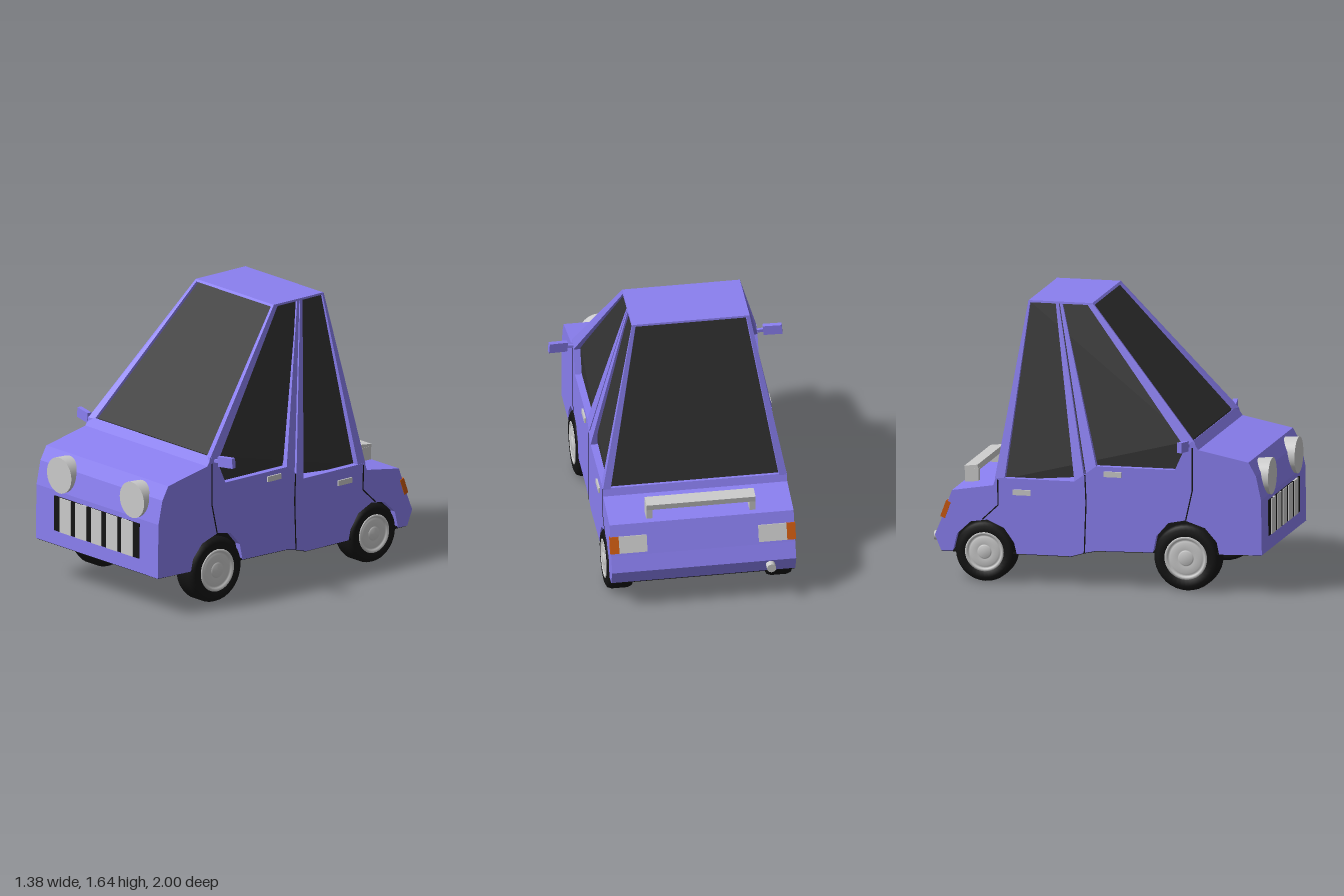
import * as THREE from 'three';
import { ConvexGeometry } from 'three/addons/geometries/ConvexGeometry.js';

const mat = (color) => new THREE.MeshStandardMaterial({ color });
const paint = mat(0x8a7ff0), glass = mat(0x333333), black = mat(0x141414), orange = mat(0xcc5a10), grey = mat(0xcccccc);

export function createModel() {
  const car = new THREE.Group();
  car.name = 'car';

  const add = (name, geo, material, x = 0, y = 0, z = 0) => {
    const mesh = new THREE.Mesh(geo, material);
    mesh.name = name;
    mesh.position.set(x, y, z);
    car.add(mesh);
    return mesh;
  };
  const box = (name, m, w, h, d, x, y, z) => add(name, new THREE.BoxGeometry(w, h, d), m, x, y, z);
  const hull = (name, m, pts) => add(name, new ConvexGeometry(pts.map((p) => new THREE.Vector3(...p))), m);
  // Extrudes a [z, y] outline across the car from x0 to x1
  const slab = (name, m, pts, x0, x1) => {
    const shape = new THREE.Shape(pts.map((p) => new THREE.Vector2(...p)));
    const geo = new THREE.ExtrudeGeometry(shape, { depth: x1 - x0, bevelEnabled: false });
    geo.rotateY(-Math.PI / 2).translate(x1, 0, 0);
    return add(name, geo, m);
  };

  // Side outline in [z, y]
  const rearArch = [[-0.855, 0.176], [-0.83, 0.28], [-0.75, 0.355], [-0.65, 0.37], [-0.55, 0.325], [-0.49, 0.24], [-0.475, 0.176]];
  const frontArch = [[0.34, 0.222], [0.36, 0.32], [0.43, 0.4], [0.53, 0.42], [0.65, 0.38], [0.72, 0.3], [0.735, 0.228]];
  const rearSill = [[-0.925, 0.176]];
  const midSill = [[-0.15, 0.176], [-0.07, 0.2], [0, 0.215]];
  const top = [
    [0.99, 0.235], [0.985, 0.56], [0.955, 0.7], [0.91, 0.78], [0.61, 0.84], [0.575, 0.89], [0.535, 0.86],
    [0.47, 0.715], [0, 0.715], [-0.13, 0.62], [-0.6, 0.62], [-0.615, 0.575], [-0.861, 0.535], [-0.925, 0.36], [-0.963, 0.267],
  ];

  // Lower body: plain centre, sides with wheel arches
  slab('bodyCentre', paint, [...rearSill, ...midSill, ...top], -0.38, 0.38);
  const sideOutline = [...rearSill, ...rearArch, ...midSill, ...frontArch, ...top];
  slab('bodySideLeft', paint, sideOutline, 0.38, 0.54);
  slab('bodySideRight', paint, sideOutline, -0.54, -0.38);

  // Dark underside following the sills
  const floor = [...rearSill, ...midSill, [0.985, 0.235]];
  slab('underbody', black, [
    ...floor.map(([z, y]) => [z, y - 0.004]),
    ...floor.map(([z, y]) => [z, y + 0.008]).reverse(),
  ], -0.535, 0.535);

  // Cabin glass and roof
  hull('cabinGlass', glass, [1, -1].flatMap((s) => [
    [s * 0.5, 0.6, -0.585], [s * 0.5, 0.69, 0.48], [s * 0.5, 0.885, 0.555],
    [s * 0.333, 1.63, -0.08], [s * 0.333, 1.63, -0.443],
  ]));
  hull('roof', paint, [1, -1].flatMap((s) => [
    [s * 0.345, 1.64, -0.07], [s * 0.345, 1.64, -0.45], [s * 0.347, 1.628, -0.06], [s * 0.347, 1.628, -0.452],
  ]));

  // Wheel: tyre and stepped rim turned about the axle
  const wheel = (name, side, r, y, z) => {
    const g = new THREE.Group();
    g.name = name;
    const turn = (part, pts, m) => {
      const geo = new THREE.LatheGeometry(pts.map((p) => new THREE.Vector2(p[0] * r, p[1])), 36);
      const mesh = new THREE.Mesh(geo, m);
      mesh.name = part;
      g.add(mesh);
    };
    turn('tyre', [[0, -0.078], [0.85, -0.078], [0.95, -0.068], [1, -0.045], [1, 0.045], [0.95, 0.068], [0.85, 0.078], [0.64, 0.078], [0.62, 0.06], [0, 0.06]], black);
    turn('rim', [[0.65, 0.06], [0.65, 0.079], [0.58, 0.081], [0.56, 0.072], [0.5, 0.07], [0.46, 0.078], [0.25, 0.078], [0.22, 0.073], [0.2, 0.084], [0, 0.084]], grey);
    g.rotation.z = -side * Math.PI / 2;
    g.position.set(side * 0.467, y, z);
    car.add(g);
  };

  for (const s of [1, -1]) {
    const n = s > 0 ? 'Left' : 'Right';
    const mirror = (pts) => pts.map(([x, y, z]) => [s * x, y, z]);

    // Window pillars
    hull('frontPillar' + n, paint, mirror([
      [0.54, 0.885, 0.588], [0.495, 0.885, 0.575], [0.54, 0.84, 0.6], [0.54, 0.85, 0.53], [0.49, 0.85, 0.53],
      [0.345, 1.64, -0.07], [0.327, 1.64, -0.07], [0.345, 1.63, -0.1], [0.32, 1.63, -0.1],
    ]));
    hull('doorPillarFront' + n, paint, mirror([
      [0.54, 0.715, 0], [0.48, 0.715, 0], [0.54, 0.66, -0.06], [0.48, 0.66, -0.06],
      [0.345, 1.635, -0.25], [0.32, 1.635, -0.25], [0.345, 1.635, -0.266], [0.32, 1.635, -0.266],
    ]));
    hull('doorPillarRear' + n, paint, mirror([
      [0.54, 0.66, -0.075], [0.48, 0.66, -0.075], [0.54, 0.62, -0.13], [0.48, 0.62, -0.13],
      [0.345, 1.635, -0.272], [0.32, 1.635, -0.272], [0.345, 1.635, -0.29], [0.32, 1.635, -0.29],
    ]));
    hull('rearPillar' + n, paint, mirror([
      [0.54, 0.615, -0.548], [0.49, 0.615, -0.548], [0.54, 0.615, -0.605], [0.495, 0.615, -0.605],
      [0.345, 1.64, -0.44], [0.32, 1.64, -0.44], [0.345, 1.64, -0.452], [0.325, 1.64, -0.452],
    ]));

    // Door seams as thin dark strips
    const seam = (pts) => pts.slice(1).forEach(([z1, y1], i) => {
      const [z0, y0] = pts[i];
      const strip = box('doorSeam' + n, black, 0.004, Math.hypot(z1 - z0, y1 - y0), 0.007, s * 0.54, (y0 + y1) / 2, (z0 + z1) / 2);
      strip.rotation.x = Math.atan2(z1 - z0, y1 - y0);
    });
    seam([[0.575, 0.85], [0.575, 0.6], [0.535, 0.42]]);
    seam([[-0.067, 0.66], [-0.06, 0.5], [-0.07, 0.2]]);
    seam([[-0.588, 0.61], [-0.585, 0.46], [-0.68, 0.37]]);

    // Wheels and dark arch linings
    const [x0, x1] = s > 0 ? [0.37, 0.5] : [-0.5, -0.37];
    slab('rearArchLining' + n, black, rearArch, x0, x1);
    slab('frontArchLining' + n, black, frontArch, x0, x1);
    wheel('frontWheel' + n, s, 0.196, 0.198, 0.537);
    wheel('rearWheel' + n, s, 0.178, 0.18, -0.666);

    // Headlight
    const lamp = add('headlight' + n, new THREE.CylinderGeometry(0.108, 0.1, 0.15, 36), grey, s * 0.322, 0.665, 0.925);
    lamp.rotation.x = Math.PI / 2;

    // Door handles
    box('frontDoorHandle' + n, grey, 0.02, 0.032, 0.105, s * 0.54, 0.672, 0.1);
    box('rearDoorHandle' + n, grey, 0.02, 0.032, 0.105, s * 0.54, 0.54, -0.443);

    // Wing mirror
    const stalk = box('mirrorStalk' + n, paint, 0.06, 0.018, 0.018, s * 0.56, 0.865, 0.548);
    stalk.rotation.z = s * 0.1;
    const mirrorCase = box('mirror' + n, paint, 0.11, 0.06, 0.028, s * 0.63, 0.872, 0.54);
    mirrorCase.rotation.set(0, s * 0.15, s * 0.08);

    // Tail lights on the sloping rear face
    const tail = (name, m, w, x) => {
      box(name + n, m, w, 0.1, 0.03, s * x, 0.42, -0.899).rotation.x = 0.35;
    };
    tail('reverseLight', grey, 0.165, 0.41);
    tail('turnLight', orange, 0.052, 0.518);

    // Luggage rail leg
    box('railLeg' + n, grey, 0.035, 0.08, 0.08, s * 0.303, 0.585, -0.797);
  }

  // Luggage rail
  box('rail', grey, 0.64, 0.035, 0.08, 0, 0.625, -0.8).rotation.x = -0.12;

  // Grille: dark slots with pale bars
  box('grille', black, 0.75, 0.21, 0.04, 0, 0.425, 0.973);
  for (let i = -2; i <= 2; i++) {
    box('grilleBar', grey, i ? 0.1 : 0.09, 0.21, 0.04, i * 0.137, 0.425, 0.977);
  }

  // Exhaust pipe
  const pipe = new THREE.CylinderGeometry(0.027, 0.027, 0.1, 16);
  add('exhaust', pipe, grey, -0.39, 0.235, -0.95).rotation.x = Math.PI / 2;

  return car;
}
